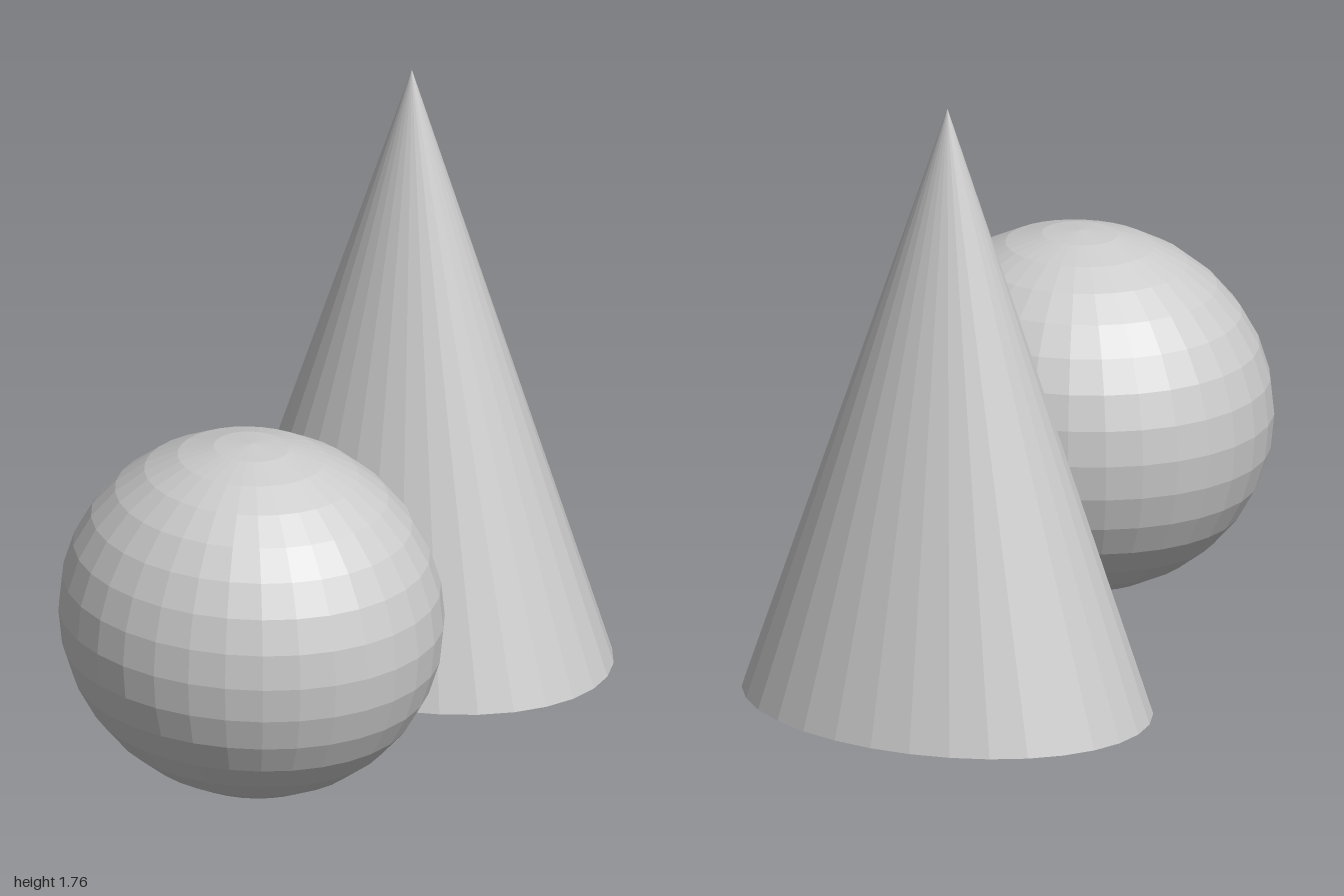
import * as THREE from 'three';

export function createModel() {
  const group = new THREE.Group();
  const material = new THREE.MeshStandardMaterial({ color: 0xcccccc, flatShading: true });

  // Unit primitives stretched to an oval footprint
  function addPart(name, geometry, radii, centre) {
    const mesh = new THREE.Mesh(geometry, material);
    mesh.name = name;
    mesh.scale.set(...radii);
    mesh.position.set(...centre);
    group.add(mesh);
  }

  // Tall cone at the back, closed underneath
  addPart('cone', new THREE.ConeGeometry(1, 1, 32), [0.607, 1.76, 0.455], [-0.045, 0.88, -0.545]);

  // Slightly squashed ball at the front
  addPart('ball', new THREE.SphereGeometry(1, 32, 16), [0.557, 0.522, 0.505], [0.093, 0.524, 0.495]);

  return group;
}
